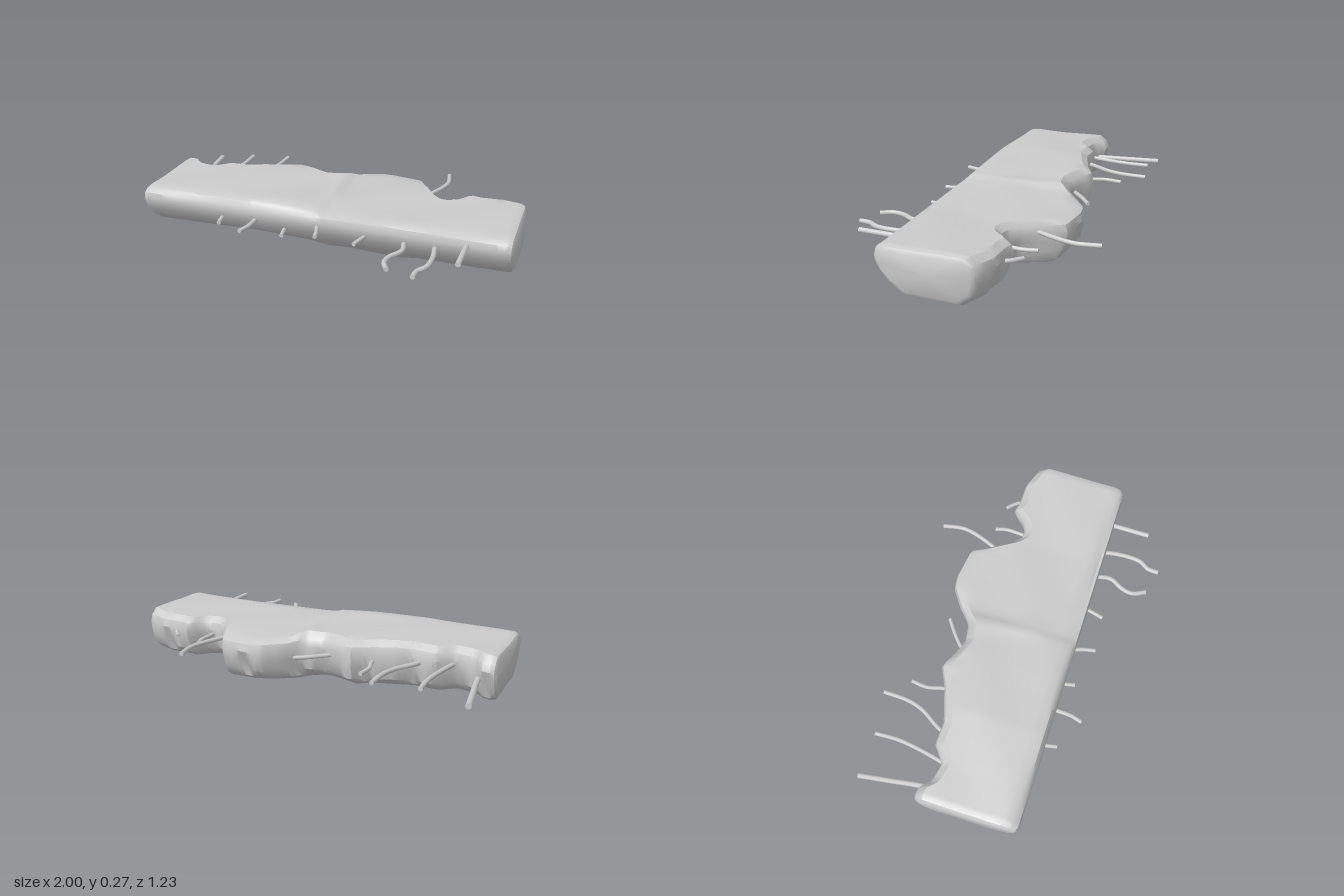
import * as THREE from 'three';
import { toCreasedNormals } from 'three/addons/utils/BufferGeometryUtils.js';

const material = new THREE.MeshStandardMaterial({ color: 0xcccccc });

// Outlines along the slab, as [x, value]
const BACK = [[-1, -.25], [-.93, -.24], [-.88, -.19], [-.78, -.17], [-.7, -.235], [-.58, -.23], [-.4, -.29],
  [-.3, -.34], [-.2, -.295], [-.13, -.27], [-.03, -.285], [.05, -.36], [.15, -.43], [.22, -.44], [.38, -.42],
  [.44, -.32], [.5, -.22], [.55, -.175], [.6, -.17], [.65, -.2], [.7, -.265], [.75, -.25], [.87, -.25], [.95, -.22], [1, -.2]];
const TOP = [[-1, .255], [-.8, .262], [-.5, .277], [-.2, .27], [0, .262], [.04, .252], [.5, .243], [.8, .255], [1, .262]];
const BOTTOM = [[-1, .02], [-.4, .035], [-.1, .028], [.02, .012], [.15, .018], [.4, .005], [.5, .018], [1, .022]];

function sample(table, x) {
  for (let i = 1; i < table.length; i++) {
    const [x0, v0] = table[i - 1], [x1, v1] = table[i];
    if (x <= x1) return v0 + (v1 - v0) * (x - x0) / (x1 - x0);
  }
  return table[table.length - 1][1];
}

// Closed cross-section in (z, y): top, broken back, underside, sloped front
function section(x) {
  const b = sample(BACK, x), t = sample(TOP, x), o = sample(BOTTOM, x);
  const pts = [];
  for (let k = 0; k <= 10; k++) {
    const z = .265 + (b + .05 - .265) * k / 10;
    // a shallow ridge runs across the middle, and the rear edge dips
    const ridge = .008 * Math.exp(-(((x - .02 - z * .2) / .05) ** 2)) * (z < .12 ? 1 : 0);
    const dip = z < -.25 ? (z + .25) * .1 : 0;
    pts.push([z, t + ridge + dip - (k === 0 ? .006 : 0) + .003 * Math.sin(x * 9 + z * 13)]);
  }
  const chip = .012 * Math.sin(x * 31) + .008 * Math.sin(x * 53 + 1);
  pts.push([b + .012, t - .03], [b, t - .07], [b + .012 + chip * .6, .13], [b + .03 + chip, .075], [b + .055, o + .02]);
  for (let k = 0; k <= 7; k++) {
    const z = b + .085 + (.15 - b - .085) * k / 7;
    pts.push([z, o + .004 * (1 + Math.sin(x * 11 + z * 9)) * Math.sin(Math.PI * k / 7)]);
  }
  pts.push([.185, o + .022], [.235, .08], [.28, .135], [.298, .175], [.304, .205], [.297, .232], [.283, t - .015]);
  return pts;
}

function slabGeometry() {
  const xs = [-1, -.99];
  for (let i = 0; i <= 96; i++) xs.push(-.97 + 1.94 * i / 96);
  xs.push(.99, 1);
  const pos = [], index = [];
  let n = 0;
  for (const x of xs) {
    const ring = section(x);
    n = ring.length;
    // pull the last rings in to round the ends
    const e = Math.abs(x), inset = e > .995 ? .025 : e > .98 ? .008 : 0;
    const cy = .14, cz = .03;
    for (const [z, y] of ring) {
      pos.push(x, cy + (y - cy) * (1 - inset / .12), cz + (z - cz) * (1 - inset / .27));
    }
  }
  for (let i = 0; i < xs.length - 1; i++) for (let j = 0; j < n; j++) {
    const a = i * n + j, c = i * n + (j + 1) % n;
    index.push(a, a + n, c, c, a + n, c + n);
  }
  const left = pos.length / 3, right = left + 1, last = (xs.length - 1) * n;
  pos.push(-1, .14, .03, 1, .14, .03);
  for (let j = 0; j < n; j++) {
    const k = (j + 1) % n;
    index.push(left, j, k, right, last + k, last + j);
  }
  const g = new THREE.BufferGeometry();
  g.setAttribute('position', new THREE.Float32BufferAttribute(pos, 3));
  g.setIndex(index);
  return toCreasedNormals(g, .6);
}

// Bent bars: height, radius, then [x, z] points from inside the slab outwards
const FRONT_BARS = [
  [.15, .011, [[-.53, .22], [-.525, .29], [-.512, .36]]],
  [.165, .012, [[-.33, .22], [-.332, .3], [-.335, .38], [-.352, .445]]],
  [.13, .011, [[-.18, .2], [-.172, .29], [-.16, .355]]],
  [.18, .011, [[-.01, .22], [.01, .29], [.028, .34], [.042, .405]]],
  [.165, .011, [[.28, .22], [.262, .3], [.24, .39]]],
  [.16, .013, [[.45, .22], [.47, .3], [.48, .37], [.44, .45], [.432, .51], [.462, .575]]],
  [.163, .013, [[.61, .22], [.625, .3], [.638, .4], [.63, .5], [.6, .55], [.595, .61]]],
  [.205, .014, [[.77, .22], [.778, .3], [.778, .4], [.778, .5]]],
];
const BACK_BARS = [
  [.135, .015, [[-.9, -.12], [-.912, -.25], [-.935, -.4], [-.96, -.565]]],
  [.175, .012, [[-.79, -.1], [-.77, -.18], [-.742, -.32], [-.73, -.43], [-.735, -.55]]],
  [.18, .012, [[-.64, -.17], [-.61, -.25], [-.545, -.36], [-.52, -.45], [-.515, -.585]]],
  [.17, .011, [[-.39, -.2], [-.4, -.3], [-.42, -.38], [-.412, -.47]]],
  [.17, .011, [[-.22, -.22], [-.165, -.275], [-.1, -.335], [-.02, -.395]]],
  [.185, .012, [[.42, -.22], [.455, -.3], [.5, -.42], [.515, -.5], [.496, -.615]]],
  [.152, .011, [[.595, -.1], [.595, -.18], [.598, -.27], [.583, -.335]]],
  [.17, .011, [[.79, -.2], [.77, -.26], [.72, -.315]]],
];

function bar([y, r, path], name) {
  const points = path.map(([x, z]) => new THREE.Vector3(x, y, z));
  const curve = new THREE.CatmullRomCurve3(points);
  const group = new THREE.Group();
  group.name = name;
  const rod = new THREE.Mesh(new THREE.TubeGeometry(curve, 20, r, 8), material);
  rod.name = 'rod';
  const cap = new THREE.Mesh(new THREE.CircleGeometry(r, 8), material);
  cap.name = 'rodEnd';
  cap.position.copy(curve.getPoint(1));
  cap.lookAt(cap.position.clone().add(curve.getTangent(1)));
  group.add(rod, cap);
  return group;
}

export function createModel() {
  const model = new THREE.Group();
  model.name = 'brokenSlab';
  const slab = new THREE.Mesh(slabGeometry(), material);
  slab.name = 'concreteSlab';
  model.add(slab);
  FRONT_BARS.forEach((b, i) => model.add(bar(b, `frontBar${i + 1}`)));
  BACK_BARS.forEach((b, i) => model.add(bar(b, `backBar${i + 1}`)));
  return model;
}
